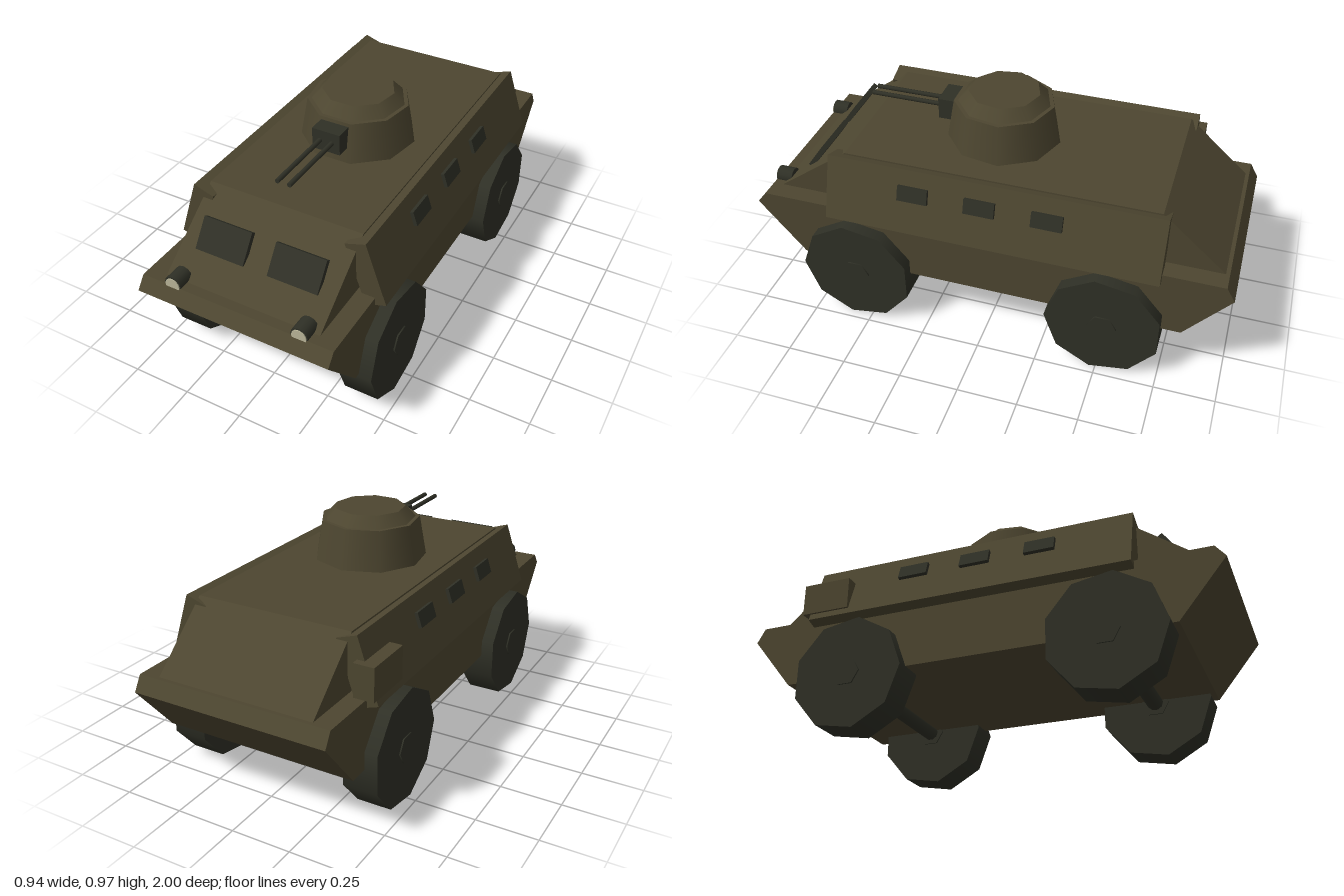
import * as THREE from 'three';

export function createModel() {
  const model = new THREE.Group();
  const paint = (name, color) => {
    const m = new THREE.MeshStandardMaterial({ color });
    m.name = name;
    return m;
  };
  const olive = paint('olive armour', 0x4d4630);
  const dark = paint('dark metal', 0x2f3026);
  const lens = paint('lamp lens', 0xb8b498);

  const add = (name, geometry, material, x = 0, y = 0, z = 0, parent = model) => {
    const mesh = new THREE.Mesh(geometry, material);
    mesh.name = name;
    mesh.position.set(x, y, z);
    parent.add(mesh);
    return mesh;
  };
  const box = (w, h, d) => new THREE.BoxGeometry(w, h, d);
  // Cylinders lying along x or z
  const rodX = (r, len, n) => new THREE.CylinderGeometry(r, r, len, n).rotateZ(Math.PI / 2);
  const rodZ = (r, len, n) => new THREE.CylinderGeometry(r, r, len, n).rotateX(Math.PI / 2);
  // Side profile of (z, y) points, extruded across the width
  const slab = (points, width) => {
    const shape = new THREE.Shape(points.map(([z, y]) => new THREE.Vector2(z, y)));
    return new THREE.ExtrudeGeometry(shape, { depth: width, bevelEnabled: false })
      .translate(0, 0, -width / 2)
      .rotateY(-Math.PI / 2);
  };

  // Hull
  add('lowerHull', slab([[0.81, 0.25], [1, 0.48], [0.96, 0.53], [-0.965, 0.53], [-1, 0.47], [-0.82, 0.25]], 0.82), olive);
  add('upperHull', slab([[0.925, 0.525], [0.605, 0.76], [-0.69, 0.76], [-0.955, 0.525]], 0.664), olive);

  for (const s of [-1, 1]) {
    // Tilted side armour with vision blocks
    const side = new THREE.Group();
    side.name = s > 0 ? 'leftSide' : 'rightSide';
    side.position.set(s * 0.37, 0.624, -0.03);
    side.rotation.z = s * 0.322;
    model.add(side);
    add('sideArmour', box(0.09, 0.269, 1.38), olive, 0, 0, 0, side);
    for (const z of [0.317, 0.04, -0.233]) {
      add('sideWindow', box(0.03, 0.062, 0.126), dark, s * 0.045, 0.037, z, side);
    }

    // Windscreen blocks, set steeper than the front slope
    const screen = add('frontWindow', box(0.212, 0.129, 0.022), dark, s * 0.158, 0.656, 0.774);
    screen.rotation.x = -0.62;

    // Headlights
    add('headlight', rodZ(0.036, 0.07, 12), dark, s * 0.272, 0.537, 0.925);
    add('headlightLens', rodZ(0.031, 0.006, 12), lens, s * 0.272, 0.535, 0.961);

    // Wheels
    for (const z of [0.55, -0.515]) {
      add('wheel', rodX(0.24, 0.144, 9), dark, s * 0.392, 0.24, z);
      add('hub', rodX(0.06, 0.156, 6), dark, s * 0.392, 0.24, z);
    }

    // Twin gun barrels
    add('gunBarrel', rodZ(0.0095, 0.33, 8), dark, s * 0.026, 0.866, 0.44);
  }

  // Axles
  for (const z of [0.55, -0.515]) add('axle', rodX(0.035, 0.7, 10), dark, 0, 0.24, z);

  // Stowage box at the rear right
  add('stowageBox', box(0.085, 0.135, 0.21), olive, -0.412, 0.607, -0.645);

  // Turret, nine-sided, with a point facing backwards
  const ring = (top, bottom, h) => new THREE.CylinderGeometry(top, bottom, h, 9).rotateY(Math.PI);
  add('turret', ring(0.207, 0.237, 0.17), olive, 0, 0.84, 0.032);
  add('turretRoof', ring(0.147, 0.192, 0.047), olive, 0, 0.9465, 0.032);
  add('gunMount', box(0.122, 0.09, 0.085), dark, 0, 0.866, 0.256);

  return model;
}
